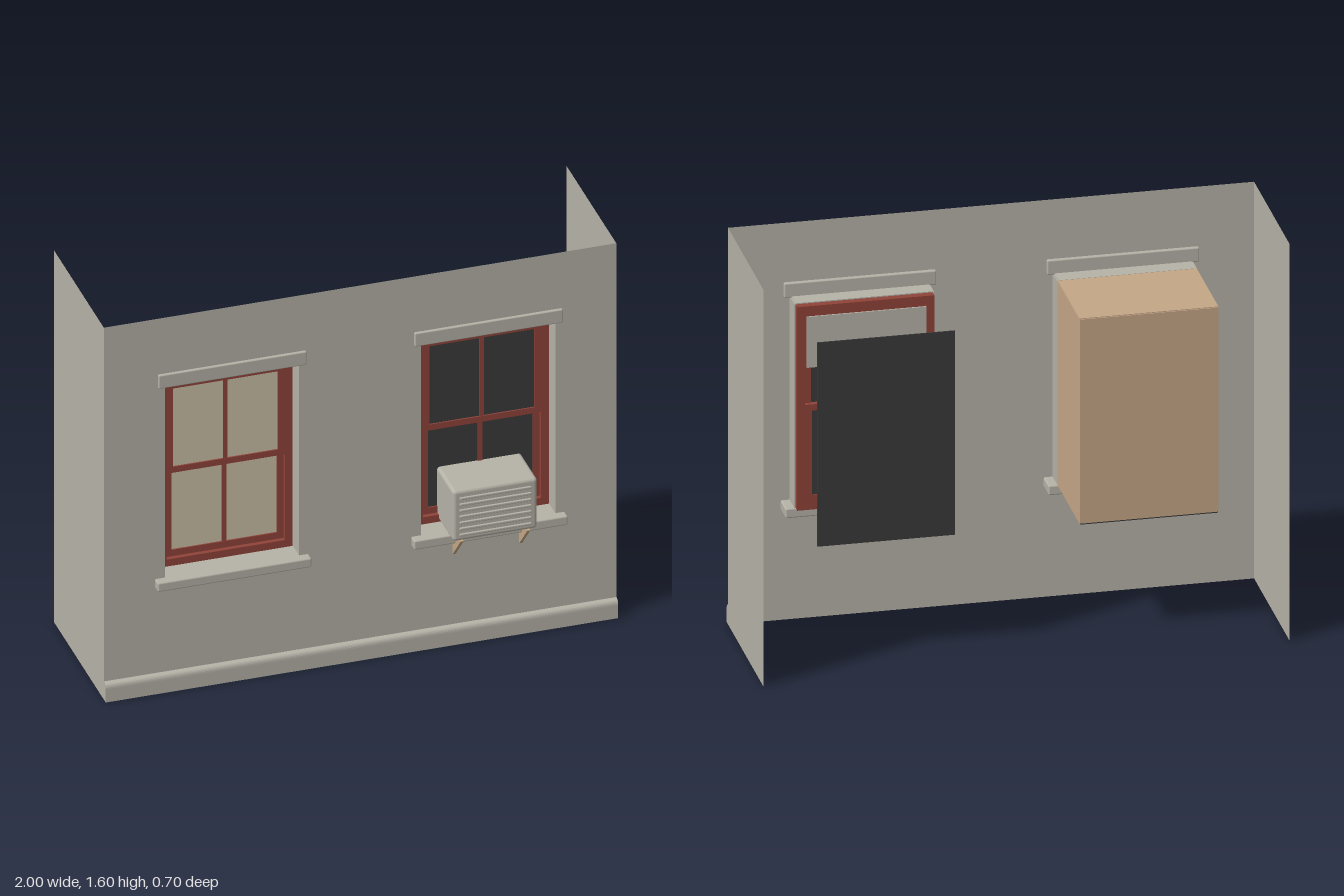
import * as THREE from 'three';
import { RoundedBoxGeometry } from 'three/addons/geometries/RoundedBoxGeometry.js';

const material = (name, color, side = THREE.FrontSide) => {
  const m = new THREE.MeshStandardMaterial({ color, side });
  m.name = name;
  return m;
};

export function createModel() {
  const model = new THREE.Group();
  model.name = 'wallWithWindows';

  const wallGrey = material('wallGrey', 0xb5b2a7, THREE.DoubleSide);
  const stone = material('stone', 0xb5b2a7);
  const red = material('frameRed', 0x8f4339);
  const cream = material('litPane', 0xcbc0a8);
  const dark = material('darkPane', 0x3a3a3a);
  const tan = material('tan', 0xc4a686);

  const add = (parent, name, geometry, mat) => {
    const mesh = new THREE.Mesh(geometry, mat);
    mesh.name = name;
    parent.add(mesh);
    return mesh;
  };
  // Box given by its limits on each axis, optionally with rounded edges
  const box = (parent, name, mat, [x0, x1], [y0, y1], [z0, z1], radius = 0) => {
    const size = [x1 - x0, y1 - y0, z1 - z0];
    const geometry = radius
      ? new RoundedBoxGeometry(...size, 3, radius)
      : new THREE.BoxGeometry(...size);
    const mesh = add(parent, name, geometry, mat);
    mesh.position.set((x0 + x1) / 2, (y0 + y1) / 2, (z0 + z1) / 2);
    return mesh;
  };

  const HALF = 0.262, BOTTOM = 0.48, TOP = 1.303, WALL_Z = 0.25, FRAME_Z = 0.172;

  // Front wall sheet with two window openings
  const wall = new THREE.Shape([[-1, 0], [1, 0], [1, 1.6], [-1, 1.6]].map(p => new THREE.Vector2(...p)));
  for (const cx of [-0.5, 0.5]) {
    wall.holes.push(new THREE.Path([
      [cx - HALF, BOTTOM], [cx - HALF, TOP], [cx + HALF, TOP], [cx + HALF, BOTTOM],
    ].map(p => new THREE.Vector2(...p))));
  }
  add(model, 'frontWall', new THREE.ShapeGeometry(wall), wallGrey).position.z = WALL_Z;

  // Side wall sheets
  for (const s of [-1, 1]) {
    const side = add(model, 'sideWall', new THREE.PlaneGeometry(0.6, 1.6), wallGrey);
    side.rotation.y = s * Math.PI / 2;
    side.position.set(s, 0.8, -0.05);
  }

  // Baseboard with a rounded upper edge, drawn in z-y and extruded along x
  const base = new THREE.Shape();
  base.moveTo(0, 0);
  base.lineTo(0.023, 0);
  base.lineTo(0.023, 0.055);
  base.quadraticCurveTo(0.023, 0.077, 0.004, 0.078);
  base.lineTo(0, 0.078);
  const baseboard = add(model, 'baseboard',
    new THREE.ExtrudeGeometry(base, { depth: 2, bevelEnabled: false, curveSegments: 6 }), stone);
  baseboard.rotation.y = -Math.PI / 2;
  baseboard.scale.z = 1;
  baseboard.rotation.y = Math.PI / 2;
  baseboard.scale.x = 1;
  // Turn the profile so that its outer side faces forward
  baseboard.geometry.applyMatrix4(new THREE.Matrix4().makeTranslation(0, 0, -1));
  baseboard.rotation.y = -Math.PI / 2;
  baseboard.position.z = WALL_Z;

  // One glazed sash: stiles, rails, centre bar and pane
  const sash = (parent, y0, y1, low, high, z, paneMat) => {
    const g = new THREE.Group();
    g.name = 'sash';
    parent.add(g);
    const zr = [z - 0.008, z + 0.008];
    for (const s of [-1, 1]) {
      box(g, 'stile', red, [s * 0.219 - 0.014, s * 0.219 + 0.014], [y0, y1], zr);
    }
    box(g, 'bottomRail', red, [-0.205, 0.205], [y0, y0 + low], zr);
    box(g, 'topRail', red, [-0.205, 0.205], [y1 - high, y1], zr);
    box(g, 'centreBar', red, [-0.009, 0.009], [y0 + low, y1 - high], [z - 0.006, z + 0.006]);
    box(g, 'pane', paneMat, [-0.206, 0.206], [y0 + low, y1 - high], [z - 0.002, z + 0.002]);
  };

  // Window with lintel, sill, reveal, fixed frame and two sashes
  const windowUnit = (name, cx, paneMat) => {
    const g = new THREE.Group();
    g.name = name;
    g.position.x = cx;
    model.add(g);
    box(g, 'lintel', stone, [-0.289, 0.289], [1.302, 1.36], [0.235, 0.261], 0.005);
    box(g, 'sill', stone, [-0.3, 0.3], [0.443, 0.482], [0.165, 0.285], 0.006);
    const reveal = [FRAME_Z - 0.004, WALL_Z];
    box(g, 'revealTop', stone, [-HALF, HALF], [TOP, TOP + 0.004], reveal);
    for (const s of [-1, 1]) {
      const x = s * (HALF + 0.002);
      box(g, 'revealSide', stone, [x - 0.002, x + 0.002], [BOTTOM, TOP], reveal);
      box(g, 'jamb', red, [s * 0.246 - 0.015, s * 0.246 + 0.015], [0.481, 1.302], [0.142, 0.176]);
    }
    box(g, 'frameHead', red, [-0.231, 0.231], [1.27, 1.302], [0.142, 0.176]);
    box(g, 'frameFoot', red, [-0.231, 0.231], [0.481, 0.512], [0.142, 0.176]);
    sash(g, 0.88, 1.27, 0.025, 0.028, 0.166, paneMat);
    sash(g, 0.512, 0.905, 0.027, 0.025, 0.15, paneMat);
    return g;
  };

  // Lit window with a shallow room behind it
  const lit = windowUnit('litWindow', -0.5, cream);
  const depth = [-0.2, FRAME_Z];
  box(lit, 'roomBack', tan, [-0.264, 0.264], [BOTTOM, TOP], [-0.204, -0.2]);
  box(lit, 'roomCeiling', tan, [-0.264, 0.264], [TOP - 0.001, TOP + 0.003], depth);
  box(lit, 'roomFloor', dark, [-0.262, 0.262], [BOTTOM - 0.004, BOTTOM], [-0.204, 0.164]);
  for (const s of [-1, 1]) {
    box(lit, 'roomSide', tan, [s * 0.263 - 0.002, s * 0.263 + 0.002], [BOTTOM, TOP], depth);
  }

  // Dark window with a backing panel and a half-drawn blind
  const unlit = windowUnit('darkWindow', 0.5, dark);
  box(unlit, 'backingPanel', dark, [-0.262, 0.262], [BOTTOM, TOP], [-0.204, -0.2]);
  box(unlit, 'blind', stone, [-0.227, 0.227], [1.06, 1.265], [0.128, 0.134]);

  // Air conditioner through the lower sash
  const cooler = new THREE.Group();
  cooler.name = 'airConditioner';
  cooler.position.x = 0.497;
  model.add(cooler);
  box(cooler, 'casing', stone, [-0.165, 0.165], [0.487, 0.704], [0.12, 0.345], 0.014);
  for (let i = 0; i < 7; i++) {
    const y = 0.515 + i * 0.026;
    box(cooler, 'louvre', stone, [-0.14, 0.14], [y - 0.005, y + 0.005], [0.34, 0.352], 0.003);
  }

  // Triangular support brackets
  const triangle = new THREE.Shape([[0, 0.378], [0.098, 0.487], [0, 0.487]].map(p => new THREE.Vector2(...p)));
  for (const x of [-0.13, 0.13]) {
    const bracket = add(cooler, 'bracket',
      new THREE.ExtrudeGeometry(triangle, { depth: 0.012, bevelEnabled: false }), tan);
    bracket.rotation.y = -Math.PI / 2;
    bracket.position.set(x + 0.006, 0, WALL_Z);
  }

  return model;
}
